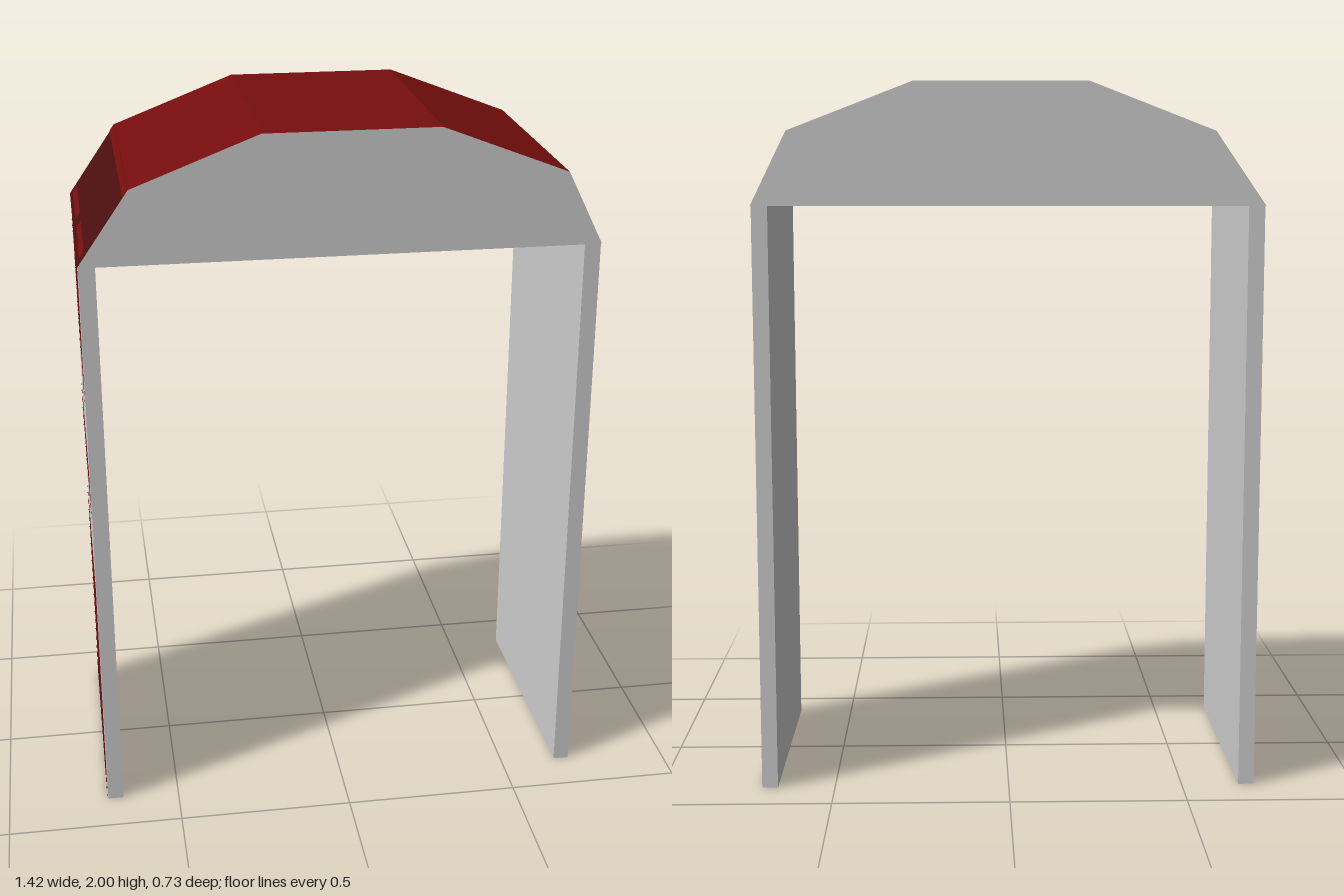
import * as THREE from 'three';

const HALF = 0.367;      // half depth
const EAVE = 1.66;       // top of the walls
const OUTER = 0.709;     // outer face of the walls

const mat = (name, color) => {
  const m = new THREE.MeshStandardMaterial({ color });
  m.name = name;
  return m;
};

export function createModel() {
  const white = mat('white', 0xcfcfcf);
  const red = mat('red', 0x770e0e);
  const darkRed = mat('dark red', 0x4b0e10);
  const black = mat('sole black', 0x23252f);

  const model = new THREE.Group();
  model.name = 'archway';

  const add = (geo, material, name, parent = model) => {
    const mesh = new THREE.Mesh(geo, material);
    mesh.name = name;
    parent.add(mesh);
    return mesh;
  };

  // Flat paint on a side facet: points are [z, distance up the facet]
  const paint = (parent, side, from, to, points, material, name, lift) => {
    const right = new THREE.Vector3(0, 0, -side);
    const up = new THREE.Vector3(to[0] - from[0], to[1] - from[1], 0).normalize();
    const out = new THREE.Vector3().crossVectors(right, up).multiplyScalar(side);
    // The normal must point outward on both sides
    if (out.x * side < 0) out.negate();
    const shape = new THREE.Shape(points.map(([z, v]) => new THREE.Vector2(-side * z, v)));
    const geo = new THREE.ShapeGeometry(shape);
    geo.applyMatrix4(new THREE.Matrix4().makeBasis(right, up, out));
    geo.translate(from[0] + out.x * lift, from[1] + out.y * lift, 0);
    add(geo, material, name, parent);
  };
  const rect = (z0, z1, y0, y1) => [[z0, y0], [z1, y0], [z1, y1], [z0, y1]];

  // Roof: faceted barrel with pale ends and underside
  const profile = [[-0.712, EAVE], [0.712, EAVE], [0.61, 1.865], [0.26, 2], [-0.22, 2], [-0.57, 1.865]];
  const roof = new THREE.ExtrudeGeometry(
    new THREE.Shape(profile.map(([x, y]) => new THREE.Vector2(x, y))),
    { depth: HALF * 2, bevelEnabled: false });
  roof.translate(0, 0, -HALF);
  roof.clearGroups();
  const n = roof.attributes.normal;
  for (let i = 0; i < n.count; i += 3) {
    const pale = Math.abs(n.getZ(i)) > 0.5 || n.getY(i) < -0.5;
    roof.addGroup(i, 3, pale ? 0 : Math.abs(n.getX(i)) > 0.7 ? 2 : 1);
  }
  add(roof, [white, red, darkRed], 'roof');

  // Edge of the sweeping pale band, front to back
  const sweep = [[HALF, 1.27], [0.22, 1.27], [0.15, 1.3], [0.05, 1.33], [-0.03, 1.37],
    [-0.1, 1.425], [-0.2, 1.505], [-0.3, 1.585], [-HALF, 1.62]];
  const sweepAt = (z) => {
    for (let i = 1; i < sweep.length; i++) {
      const [a, b] = [sweep[i - 1], sweep[i]];
      if (z >= b[0]) return a[1] + (b[1] - a[1]) * (a[0] - z) / (a[0] - b[0]);
    }
    return 1.62;
  };

  for (const side of [1, -1]) {
    const wall = new THREE.Group();
    wall.name = side > 0 ? 'leftWall' : 'rightWall';
    model.add(wall);

    // Wall slab with a dark sole
    const box = new THREE.BoxGeometry(0.045, EAVE, HALF * 2);
    box.translate(side * (OUTER - 0.0225), EAVE / 2, 0);
    add(box, [white, white, white, black, white, white], 'slab', wall);

    const foot = [side * OUTER, 0], top = [side * OUTER, 1];
    const onWall = (pts, m, name, lift) => paint(wall, side, foot, top, pts, m, name, lift);

    // Red fields below, between and above the pale bands
    onWall(rect(-HALF, HALF, 0, 0.71), red, 'lowerField', 0.0015);
    onWall(rect(-HALF, HALF, 0.925, 1.06), red, 'middleField', 0.0015);
    onWall([...sweep, [-HALF, EAVE], [HALF, EAVE]], red, 'upperField', 0.0015);

    // Dark skirting and panel grooves
    onWall(rect(-HALF, HALF, 0, 0.14), darkRed, 'skirting', 0.003);
    onWall(rect(0.328, HALF, 0.14, 0.36), darkRed, 'edgeGroove', 0.003);
    onWall(rect(0.342, 0.357, 0.36, 0.71), darkRed, 'edgeGroove', 0.003);
    for (const [z0, z1] of [[0.05, 0.072], [-0.043, -0.02], [-0.318, -0.298]]) {
      onWall(rect(z0, z1, 0.14, 0.71), darkRed, 'lowerGroove', 0.003);
      onWall(rect(z0, z1, 0.925, 1.06), darkRed, 'middleGroove', 0.003);
    }
    onWall(rect(0.352, 0.362, 0.925, 1.06), darkRed, 'middleGroove', 0.003);
    for (const [z0, z1] of [[0.05, 0.098], [-0.04, -0.02], [0.352, 0.362]]) {
      onWall([[z0, sweepAt(z0)], [z1, sweepAt(z1)], [z1, 1.61], [z0, 1.61]],
        darkRed, 'upperGroove', 0.003);
    }
    onWall(rect(0.098, 0.352, 1.58, 1.61), darkRed, 'panelTop', 0.003);
    onWall(rect(-0.28, -0.04, 1.597, 1.61), darkRed, 'panelTop', 0.003);

    // Red trim on the steep roof facet
    const [low, high] = side > 0 ? [profile[1], profile[2]] : [profile[0], profile[5]];
    const length = Math.hypot(high[0] - low[0], high[1] - low[1]);
    const onEave = (pts, name) => paint(model, side, low, high, pts, red, name, 0.0015);
    onEave(rect(-HALF, HALF, length - 0.024, length), 'roofTrim');
    onEave(rect(0.04, 0.33, 0.017, 0.04), 'eaveStrip');
    onEave(rect(-0.33, -0.035, 0.017, 0.04), 'eaveStrip');
  }
  return model;
}
